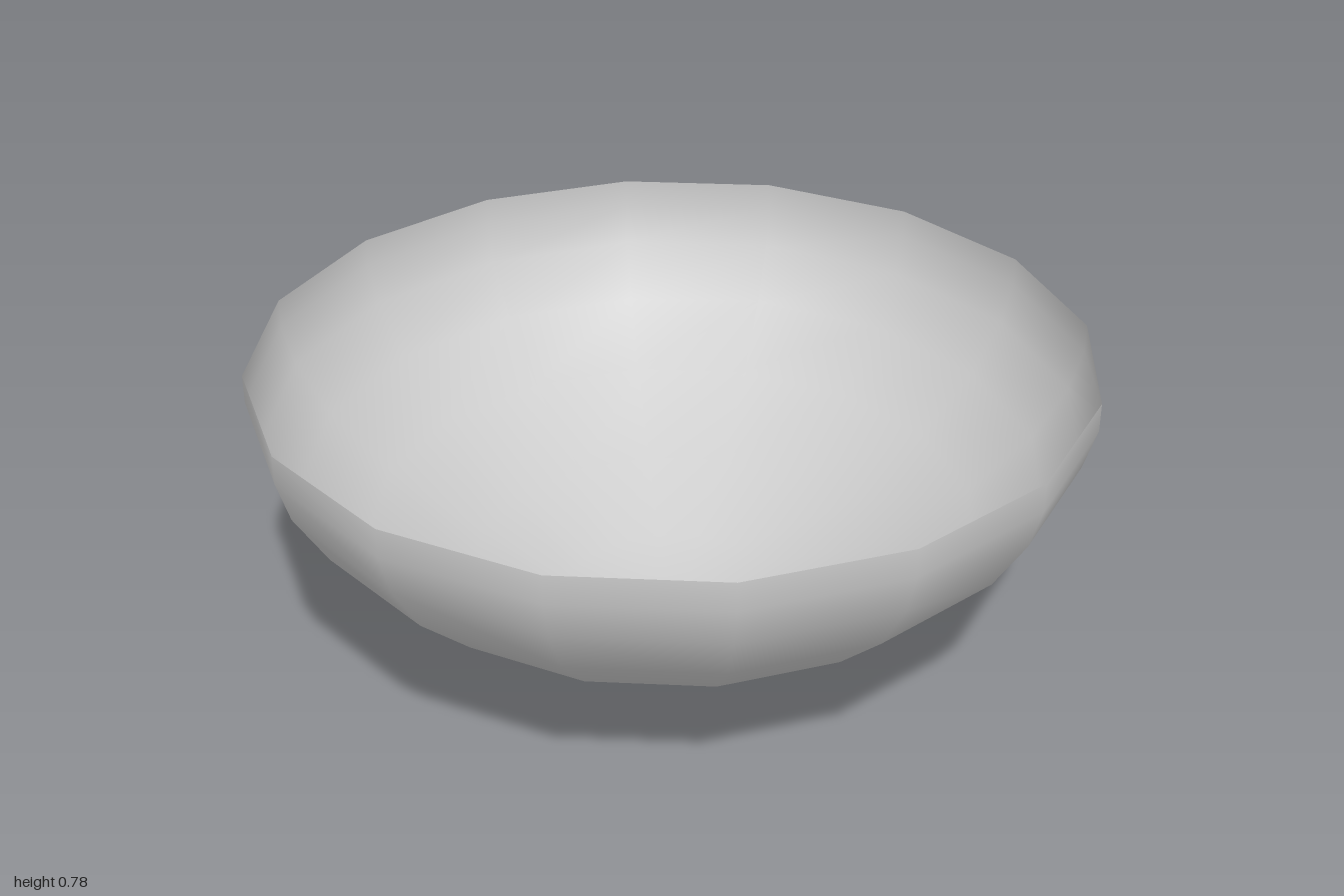
import * as THREE from 'three';

export function createModel() {
  const model = new THREE.Group();
  const material = new THREE.MeshStandardMaterial({ color: 0xcccccc, side: THREE.DoubleSide });

  // Thin open bowl, sixteen sides
  const profile = [
    [0, 0.043], [0.13, 0.048], [0.28, 0.095], [0.5, 0.2], [0.74, 0.34],
    [0.89, 0.48], [0.97, 0.61], [1, 0.71], [1, 0.78],
  ].map(([r, y]) => new THREE.Vector2(r, y));
  const bowl = new THREE.Mesh(new THREE.LatheGeometry(profile, 16), material);
  bowl.name = 'bowl';
  model.add(bowl);

  // Small hexagonal peg through the bottom, with corners on the x axis
  const pegHeight = 0.052;
  const pegGeometry = new THREE.CylinderGeometry(0.042, 0.042, pegHeight, 6, 1, false, Math.PI / 2);
  const peg = new THREE.Mesh(pegGeometry, material);
  peg.position.y = pegHeight / 2;
  peg.name = 'bottomPeg';
  model.add(peg);

  return model;
}
